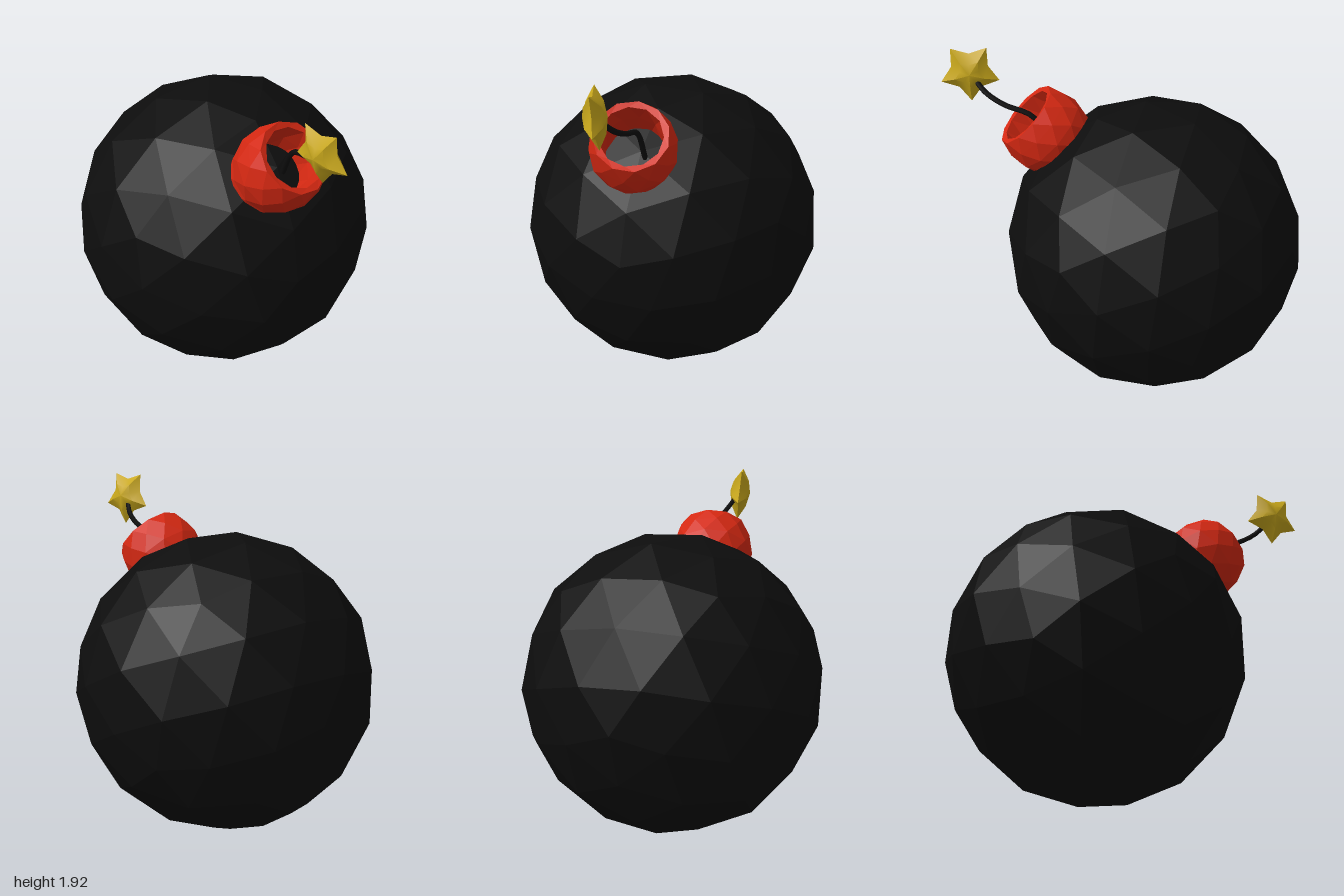
import * as THREE from 'three';
import { toCreasedNormals } from 'three/addons/utils/BufferGeometryUtils.js';

const profile = (pts) => pts.map(([r, y]) => new THREE.Vector2(r, y));

function part(name, geometry, color, flatShading = true) {
  const mesh = new THREE.Mesh(geometry, new THREE.MeshStandardMaterial({ color, flatShading }));
  mesh.name = name;
  return mesh;
}

// Barrel-shaped ring; each row is turned half a facet so the sides break into triangles
function collarGeometry() {
  const sides = 11;
  const pts = profile([
    [0.19, -0.36], [0.212, -0.27], [0.238, -0.17], [0.228, -0.08], [0.2, 0],
    [0.168, -0.005], [0.168, -0.13], [0.165, -0.3], [0.19, -0.36],
  ]);
  const geo = new THREE.LatheGeometry(pts, sides);
  const pos = geo.attributes.position;
  const v = new THREE.Vector3();
  const up = new THREE.Vector3(0, 1, 0);
  for (let i = 0; i < pos.count; i++) {
    v.fromBufferAttribute(pos, i).applyAxisAngle(up, (i % pts.length) * Math.PI / sides);
    pos.setXYZ(i, v.x, v.y, v.z);
  }
  geo.computeVertexNormals();
  return geo;
}

// Puffy five-pointed star: a ten-sided lens with every second spoke pulled in
function starGeometry() {
  const geo = new THREE.LatheGeometry(
    profile([[0, -0.062], [0.085, -0.045], [0.168, 0], [0.085, 0.045], [0, 0.062]]), 10);
  const pos = geo.attributes.position;
  for (let i = 0; i < pos.count; i++) {
    const spoke = Math.floor(i / 5);
    const s = spoke % 2 ? 0.63 : 1;
    pos.setXYZ(i, pos.getX(i) * s, pos.getY(i), pos.getZ(i) * s);
  }
  geo.rotateX(Math.PI / 2);
  return toCreasedNormals(geo, 0.6);
}

export function createModel() {
  const group = new THREE.Group();
  const black = 0x0d0d0d, red = 0xd42812, gold = 0xc9a81c;

  // Faceted ball
  const body = part('body', new THREE.IcosahedronGeometry(0.843, 2), black);
  body.position.set(-0.165, 0.838, 0);
  body.rotation.set(0.2, 0.3, 0.15);
  group.add(body);

  // Collar leaning out of the upper left of the ball, origin at its rim
  const collar = part('collar', collarGeometry(), red);
  collar.position.set(0.54, 1.6, 0.17);
  collar.rotation.z = -Math.PI / 4;
  group.add(collar);

  // Curved fuse from the bottom of the collar to the star
  const path = new THREE.CatmullRomCurve3([
    [0.4, 1.42, 0.11], [0.5, 1.6, 0.14], [0.66, 1.655, 0.19], [0.76, 1.71, 0.24], [0.83, 1.79, 0.3],
  ].map((p) => new THREE.Vector3(...p)));
  group.add(part('fuse', new THREE.TubeGeometry(path, 16, 0.015, 6), black, false));

  // Spark
  const star = part('sparkStar', starGeometry(), gold, false);
  star.position.set(0.84, 1.8, 0.31);
  star.rotation.x = 0.1;
  group.add(star);

  return group;
}
